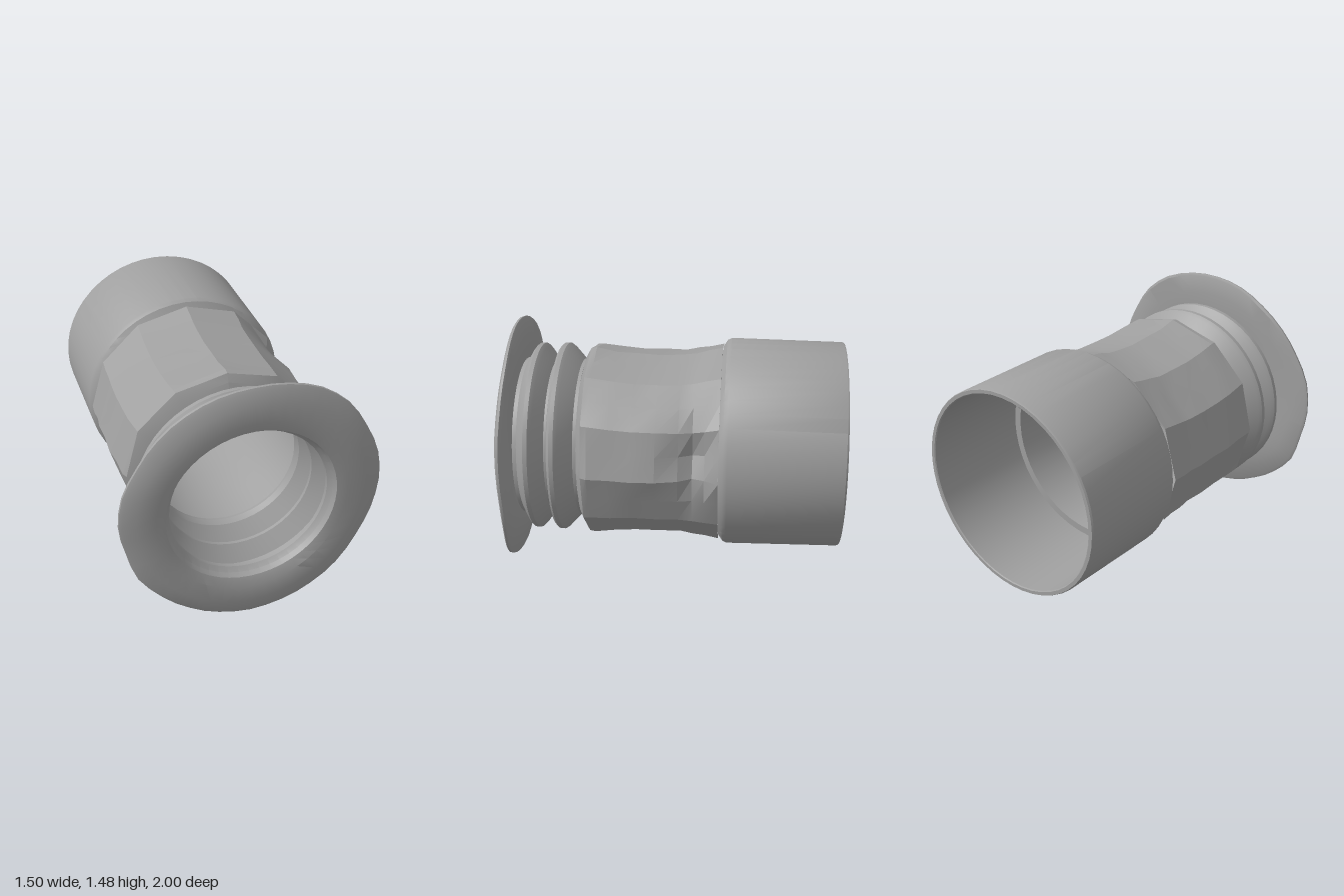
import * as THREE from 'three';
import { toCreasedNormals } from 'three/addons/utils/BufferGeometryUtils.js';

const CX = -0.012, CY = 0.742;
const rubber = new THREE.MeshStandardMaterial({ color: 0xa0a0a0 });
rubber.name = 'grey rubber';

// Skin a chain of rings around the z axis. Each row is [z, rx, ry];
// warp(angle, row, index) may return a changed [z, rx, ry].
// Rows running towards +z face outwards, rows running back face inwards.
function loft(name, rows, segments, crease, warp = (a, row) => row) {
  const pos = [], index = [];
  rows.forEach((row, i) => {
    for (let j = 0; j < segments; j++) {
      const a = (j / segments) * Math.PI * 2;
      const [z, rx, ry = rx] = warp(a, row, i);
      pos.push(CX + rx * Math.cos(a), CY + ry * Math.sin(a), z);
      if (i === 0) continue;
      const k = (j + 1) % segments;
      const p = (i - 1) * segments, q = i * segments;
      index.push(p + j, p + k, q + j, p + k, q + k, q + j);
    }
  });
  const geo = new THREE.BufferGeometry();
  geo.setAttribute('position', new THREE.Float32BufferAttribute(pos, 3));
  geo.setIndex(index);
  const mesh = new THREE.Mesh(toCreasedNormals(geo, crease), rubber);
  mesh.name = name;
  return mesh;
}

// Outer radius of the floppy flange every 15 degrees, starting at +x
const RIM = [0.762, 0.762, 0.757, 0.768, 0.765, 0.75, 0.738, 0.733, 0.724, 0.722, 0.722, 0.738,
  0.738, 0.728, 0.745, 0.732, 0.727, 0.733, 0.742, 0.738, 0.735, 0.742, 0.745, 0.757];
function rimRadius(a) {
  const t = (a / (Math.PI * 2)) * 24, i = Math.floor(t + 1e-6), f = t - i;
  return RIM[i % 24] * (1 - f) + RIM[(i + 1) % 24] * f;
}

// Wavy flange: the rim sags back at the top and sides, forward at the bottom
function flangeWarp(a, [z, r, weight]) {
  const sag = -0.008 + 0.05 * Math.max(0, -Math.sin(a)) ** 2 + 0.006 * Math.sin(5 * a);
  const radius = r + (rimRadius(a) - 0.74) * weight;
  return [z + sag * weight, radius, radius];
}

// Twelve flat sides, slightly uneven, with a dent on the left side
function gripWarp(a, [z, rx, ry], i) {
  const step = Math.PI / 6;
  const off = Math.abs(a / step - Math.round(a / step)) * step;
  const flat = Math.cos(step / 2) / Math.cos(step / 2 - off);
  const uneven = 0.006 * Math.sin(7.3 * Math.round(a * 3.82) + 2.9 * i);
  const d = Math.atan2(Math.sin(a - 0.22), Math.cos(a - 0.22));
  const dent = 0.1 * Math.exp(-((d / 0.36) ** 2) - (((z + 0.14) / 0.1) ** 2));
  const k = flat + (i > 0 && i < 9 ? uneven - dent / rx : 0);
  return [z, rx * k, ry * k];
}

export function createModel() {
  const model = new THREE.Group();
  model.name = 'rubberEyecup';

  // Rear sleeve with wall thickness and inner ledge
  model.add(loft('rearSleeve', [
    [-0.35, 0.545], [-0.35, 0.59], [-0.995, 0.592, 0.586], [-1, 0.598, 0.592],
    [-1, 0.62, 0.612], [-0.99, 0.626, 0.616], [-0.33, 0.62, 0.628], [-0.305, 0.612, 0.615],
    [-0.28, 0.59, 0.575],
  ], 48, 0.5));

  // Faceted grip: outside and smooth bore
  const grip = new THREE.Group();
  grip.name = 'grip';
  grip.add(loft('gripOuter', [
    [-0.28, 0.612, 0.598], [-0.2, 0.615, 0.58], [-0.13, 0.615, 0.562], [-0.05, 0.618, 0.548],
    [0.08, 0.62, 0.545], [0.22, 0.618, 0.548], [0.35, 0.61, 0.56], [0.47, 0.6, 0.58],
    [0.505, 0.59, 0.578], [0.53, 0.54, 0.53], [0.55, 0.47, 0.47],
  ], 24, 0.28, gripWarp));
  grip.add(loft('gripBore', [
    [0.53, 0.415], [0.51, 0.42], [0.47, 0.52], [0.2, 0.51], [-0.05, 0.51], [-0.35, 0.545],
  ], 48, 0.5));
  model.add(grip);

  // Two bellows folds, outside and inside
  const bellows = new THREE.Group();
  bellows.name = 'bellows';
  bellows.add(loft('bellowsOuter', [
    [0.545, 0.48], [0.565, 0.478], [0.64, 0.56], [0.66, 0.575], [0.685, 0.575], [0.7, 0.56],
    [0.72, 0.47], [0.735, 0.468], [0.79, 0.55], [0.81, 0.57], [0.835, 0.57], [0.85, 0.555],
    [0.89, 0.485], [0.915, 0.478],
  ], 48, 0.5));
  bellows.add(loft('bellowsInner', [
    [0.915, 0.455], [0.89, 0.455], [0.84, 0.525], [0.81, 0.525], [0.74, 0.435], [0.72, 0.435],
    [0.69, 0.53], [0.66, 0.53], [0.57, 0.425], [0.53, 0.415],
  ], 48, 0.5));
  model.add(bellows);

  // Flange: back face, rim, front face, inner lip (third value = waviness)
  model.add(loft('eyeFlange', [
    [0.915, 0.478, 0], [0.912, 0.53, 0.1], [0.915, 0.62, 0.5], [0.925, 0.725, 1],
    [0.932, 0.74, 1], [0.945, 0.738, 1], [0.955, 0.72, 1], [0.974, 0.65, 0.7],
    [0.985, 0.545, 0.3], [0.972, 0.49, 0], [0.94, 0.478, 0], [0.915, 0.455, 0],
  ], 48, 0.4, flangeWarp));

  return model;
}
